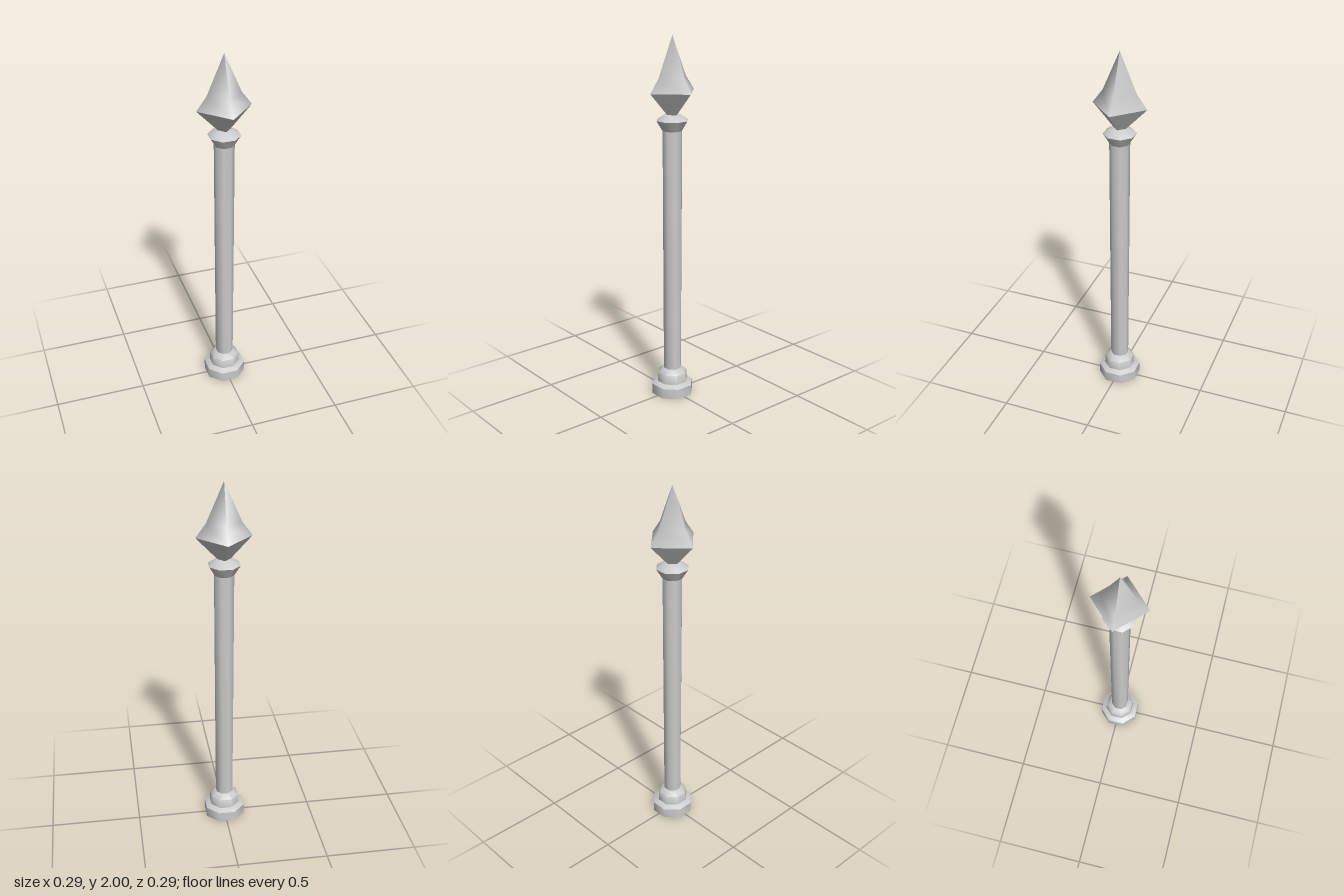
import * as THREE from 'three';
import { toCreasedNormals } from 'three/addons/utils/BufferGeometryUtils.js';

const material = new THREE.MeshStandardMaterial({ color: 0xcccccc });
const OCT = 1 / Math.cos(Math.PI / 8); // flat-to-corner ratio of an octagon

// Turned part from [radius, height] pairs, listed from bottom to top
function turned(name, profile, sides, phase, scale, crease) {
  const points = profile.map(([r, y]) => new THREE.Vector2(r * scale, y));
  let geometry = new THREE.LatheGeometry(points, sides, phase);
  if (crease) geometry = toCreasedNormals(geometry, crease);
  const mesh = new THREE.Mesh(geometry, material);
  mesh.name = name;
  return mesh;
}

// Octagonal part with flats facing the axes
const octagonal = (name, profile) => turned(name, profile, 8, Math.PI / 8, OCT, 0.95);

export function createModel() {
  const group = new THREE.Group();
  group.name = 'spikedPost';

  // Stepped foot
  group.add(octagonal('base', [
    [0, 0], [0.108, 0], [0.108, 0.058], [0.08, 0.073], [0.076, 0.125], [0.047, 0.15], [0, 0.15],
  ]));

  // Slightly flared shaft
  group.add(octagonal('shaft', [[0.046, 0.14], [0.048, 0.8], [0.05, 1.51]]));

  // Collar under the spearhead
  group.add(octagonal('collar', [
    [0, 1.505], [0.05, 1.505], [0.081, 1.56], [0.04, 1.59], [0, 1.59],
  ]));

  // Four-sided spearhead: faceted underside, softly shaded tip
  group.add(turned('spearheadUnderside', [[0, 1.585], [0.03, 1.585], [0.147, 1.71]], 4, 0, 1, 0.6));
  group.add(turned('spearheadTip', [[0.147, 1.71], [0.092, 1.785], [0, 2]], 4, 0, 1, 0));

  return group;
}
